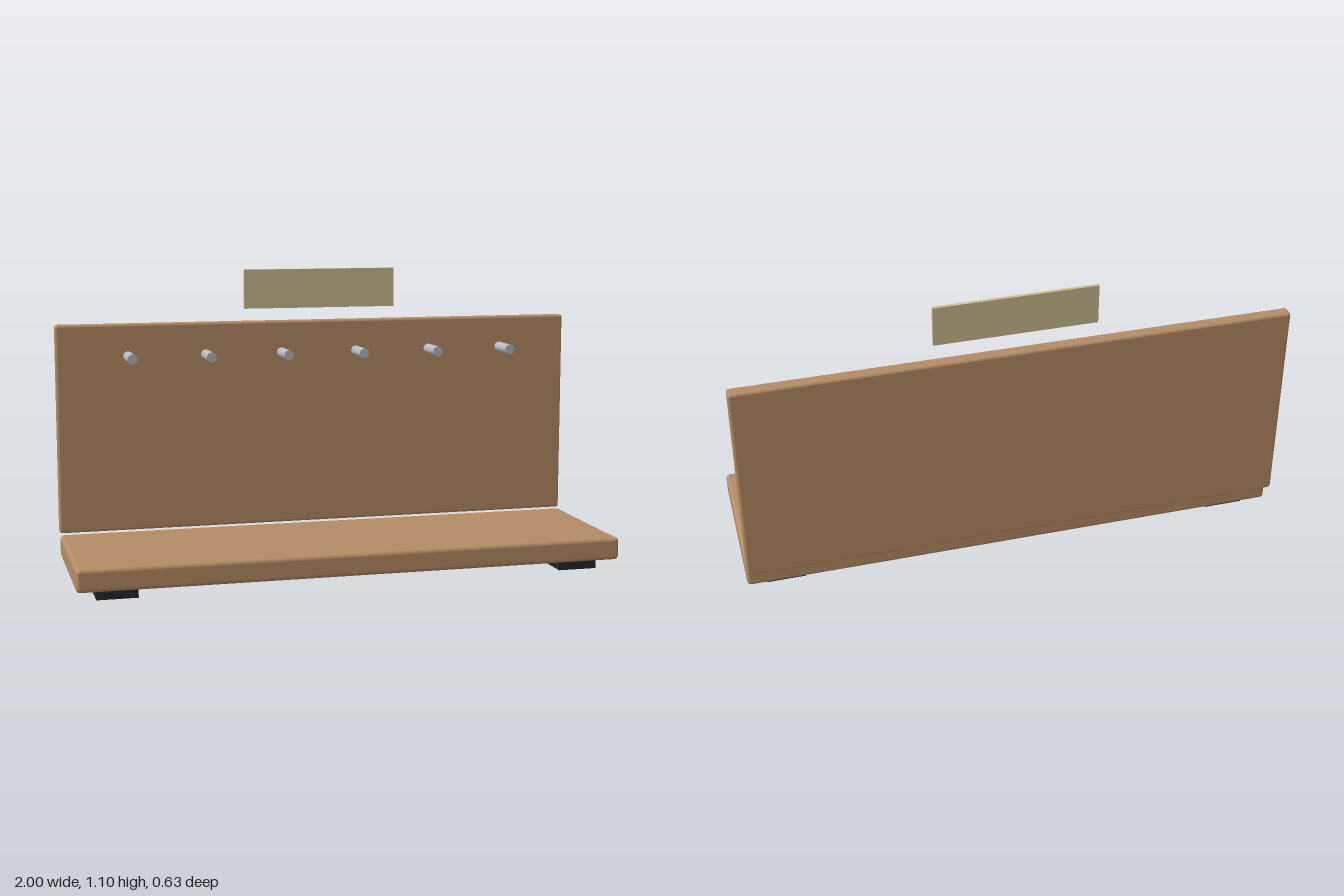
import * as THREE from 'three';
import { RoundedBoxGeometry } from 'three/addons/geometries/RoundedBoxGeometry.js';

function material(name, color) {
  const m = new THREE.MeshStandardMaterial({ color });
  m.name = name;
  return m;
}

export function createModel() {
  const model = new THREE.Group();
  model.name = 'pegRackShelf';

  const wood = material('wood', 0xb58c64);
  const metal = material('metal', 0xb4bac2);
  const rubber = material('rubber', 0x24242c);
  const brass = material('brass', 0xcdbe90);

  // Place a mesh by its centre
  const add = (name, geometry, mat, x, y, z) => {
    const mesh = new THREE.Mesh(geometry, mat);
    mesh.name = name;
    mesh.position.set(x, y, z);
    model.add(mesh);
    return mesh;
  };

  // Base board and upright back panel, with softened edges
  add('baseBoard', new RoundedBoxGeometry(2, 0.083, 0.585, 3, 0.015), wood, 0, 0.0795, 0.0245);
  add('backPanel', new RoundedBoxGeometry(2, 0.78, 0.047, 3, 0.01), wood, 0, 0.514, -0.2915);

  // Rubber feet running front to back
  for (const side of [-1, 1]) {
    add('foot', new THREE.BoxGeometry(0.146, 0.04, 0.488), rubber, side * 0.854, 0.02, 0.026);
  }

  // Row of six metal pegs
  const pegGeometry = new THREE.CylinderGeometry(0.0185, 0.0185, 0.124, 32).rotateX(Math.PI / 2);
  for (let i = 0; i < 6; i++) {
    add('peg', pegGeometry, metal, (i - 2.5) * 0.293, 0.784, -0.207);
  }

  // Blank name plate floating above the panel
  add('namePlate', new THREE.BoxGeometry(0.586, 0.147, 0.012), brass, 0, 1.0265, -0.262);

  return model;
}
